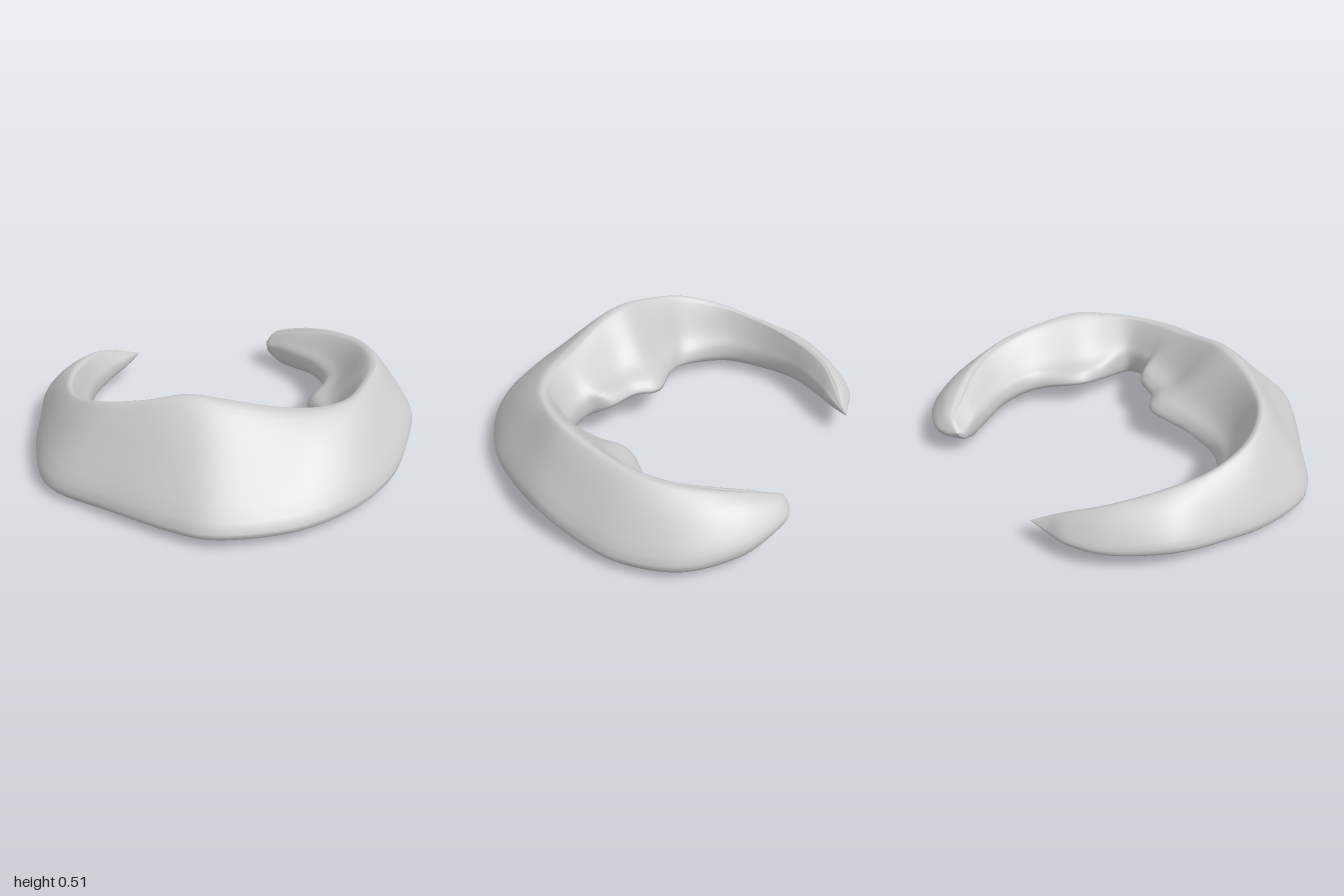
import * as THREE from 'three';

// Guide lines as [x, y, z], running from the thin horn round the front to the thick horn
const OUTER_RIM = [
  [-0.615, 0.13, -0.655], [-0.7, 0.125, -0.6], [-0.81, 0.13, -0.53], [-0.92, 0.13, -0.37], [-1, 0.145, -0.1],
  [-0.96, 0.11, 0.15], [-0.89, 0.09, 0.42], [-0.74, 0.08, 0.685], [-0.42, 0.08, 0.825],
  [-0.1, 0.085, 0.945], [0.12, 0.09, 0.98], [0.42, 0.085, 0.885], [0.65, 0.095, 0.73],
  [0.82, 0.1, 0.52], [0.93, 0.11, 0.28], [1, 0.135, -0.1], [0.965, 0.1, -0.42],
  [0.9, 0.09, -0.63], [0.75, 0.1, -0.84], [0.51, 0.13, -0.965], [0.28, 0.16, -0.985],
  [0.19, 0.155, -0.945], [0.148, 0.155, -0.88],
];
const CREST = [
  [-0.615, 0.13, -0.655], [-0.65, 0.165, -0.58], [-0.705, 0.21, -0.49], [-0.775, 0.265, -0.33], [-0.795, 0.305, -0.08],
  [-0.765, 0.335, 0.16], [-0.665, 0.385, 0.38], [-0.5, 0.44, 0.515], [-0.28, 0.485, 0.555],
  [-0.08, 0.52, 0.535], [0.1, 0.495, 0.515], [0.33, 0.44, 0.455], [0.52, 0.415, 0.375],
  [0.65, 0.41, 0.26], [0.73, 0.425, 0.1], [0.77, 0.435, -0.08], [0.74, 0.395, -0.35],
  [0.66, 0.355, -0.56], [0.51, 0.315, -0.715], [0.355, 0.265, -0.81], [0.24, 0.225, -0.87],
  [0.185, 0.2, -0.885], [0.148, 0.155, -0.88],
];
const INNER_LIP = [
  [-0.615, 0.13, -0.655], [-0.625, 0.13, -0.59], [-0.65, 0.13, -0.49], [-0.7, 0.12, -0.36], [-0.74, 0.11, -0.15],
  [-0.7, 0.1, 0.08], [-0.6, 0.115, 0.24], [-0.39, 0.11, 0.355], [-0.2, 0.16, 0.28],
  [0, 0.19, 0.155], [0.14, 0.2, 0.2], [0.3, 0.21, 0.18], [0.4, 0.18, 0.24],
  [0.56, 0.155, 0.18], [0.5, 0.15, 0], [0.455, 0.16, -0.14], [0.52, 0.14, -0.38],
  [0.43, 0.14, -0.57], [0.31, 0.12, -0.69], [0.225, 0.11, -0.77], [0.175, 0.115, -0.82],
  [0.155, 0.125, -0.845], [0.148, 0.155, -0.88],
];
const STEPS_PER_STATION = 6;
const SIDES = 40;

// Smooth value of a guide line at parameter t (in stations)
function along(line, t) {
  const i = Math.min(Math.floor(t), line.length - 2);
  const at = (k) => line[Math.max(0, Math.min(line.length - 1, k))];
  const axis = (n) => THREE.MathUtils.clamp(
    catmull(at(i - 1)[n], at(i)[n], at(i + 1)[n], at(i + 2)[n], t - i), -1, 1);
  return new THREE.Vector3(axis(0), axis(1), axis(2));
}

function catmull(a, b, c, d, u) {
  return 0.5 * (2 * b + (c - a) * u + (2 * a - 5 * b + 4 * c - d) * u * u + (3 * b - a - 3 * c + d) * u * u * u);
}

// Rounded wedge section: sloping outer wall, soft crest, inner face, lip, underside
function section(t) {
  const o = along(OUTER_RIM, t), c = along(CREST, t), n = along(INNER_LIP, t);
  const size = Math.min(1, o.distanceTo(n) / 0.35);
  // 1 on the narrow horns, which are plump; 0 where the inner face is wide and hollow
  const horn = 1 - THREE.MathUtils.smoothstep(c.distanceTo(n), 0.25, 0.42);
  const mix = (a, b, k, lift) => {
    const p = a.clone().lerp(b, k);
    p.y += lift * size;
    return p;
  };
  const ring = [
    o,
    mix(o, c, 0.45, 0.025 + 0.03 * horn),
    mix(o, c, 0.84, 0.03 + 0.01 * horn),
    c,
    mix(c, n, 0.17, 0.01 + 0.01 * horn),
    mix(c, n, 0.6, -0.02 + 0.06 * horn),
    mix(n, c, 0.06, 0.02 + 0.02 * horn),
    mix(n, o, 0.02 + 0.06 * horn, -0.025 - 0.025 * horn),
    mix(n, o, 0.5, -0.035 - 0.03 * horn),
    mix(o, n, 0.15, -0.075),
  ];
  return new THREE.CatmullRomCurve3(ring, true, 'catmullrom', 0.5);
}

export function createModel() {
  const positions = [], indices = [];
  const rows = (CREST.length - 1) * STEPS_PER_STATION;

  for (let r = 0; r <= rows; r++) {
    const curve = section(r / STEPS_PER_STATION);
    for (let s = 0; s < SIDES; s++) {
      const p = curve.getPoint(s / SIDES);
      positions.push(p.x, Math.max(p.y, 0), p.z);
    }
  }
  for (let r = 0; r < rows; r++) {
    for (let s = 0; s < SIDES; s++) {
      const a = r * SIDES + s, b = r * SIDES + (s + 1) % SIDES;
      indices.push(a, a + SIDES, b + SIDES, a, b + SIDES, b);
    }
  }

  const geometry = new THREE.BufferGeometry();
  geometry.setAttribute('position', new THREE.Float32BufferAttribute(positions, 3));
  geometry.setIndex(indices);
  geometry.computeVertexNormals();

  const body = new THREE.Mesh(geometry, new THREE.MeshStandardMaterial({ color: 0xcccccc }));
  body.name = 'crescentBody';

  const model = new THREE.Group();
  model.name = 'crescentCartilage';
  model.add(body);
  return model;
}
